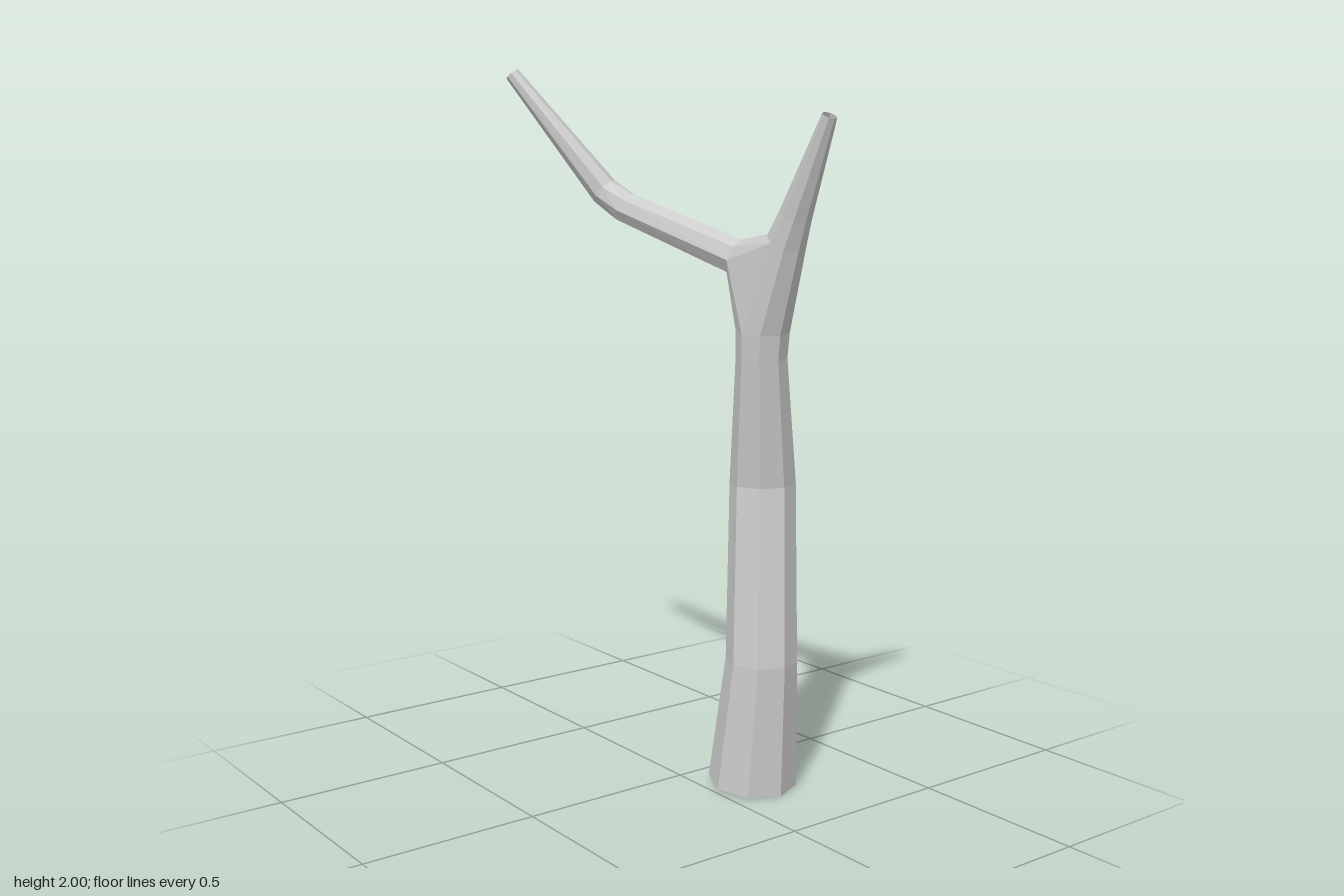
import * as THREE from 'three';
import { ConvexGeometry } from 'three/addons/geometries/ConvexGeometry.js';

const SIDES = 8;
const material = new THREE.MeshStandardMaterial({
  color: 0xcccccc, flatShading: true, side: THREE.DoubleSide,
});

// Octagonal rings along a path; each path entry is [x, y, z, radius]
function makeRings(path) {
  const centres = path.map(([x, y, z]) => new THREE.Vector3(x, y, z));
  const last = path.length - 1;
  return centres.map((centre, i) => {
    const tangent = new THREE.Vector3();
    if (i > 0) tangent.add(centre.clone().sub(centres[i - 1]).normalize());
    if (i < last) tangent.add(centres[i + 1].clone().sub(centre).normalize());
    tangent.normalize();
    const u = new THREE.Vector3(0, 0, 1).projectOnPlane(tangent).normalize();
    const v = tangent.clone().cross(u);
    return Array.from({ length: SIDES }, (_, j) => {
      const a = (j / SIDES) * Math.PI * 2;
      return centre.clone()
        .addScaledVector(u, Math.cos(a) * path[i][3])
        .addScaledVector(v, Math.sin(a) * path[i][3]);
    });
  });
}

// Open-ended skin over a list of rings
function limb(name, rings) {
  const index = [];
  for (let i = 0; i < rings.length - 1; i++) {
    for (let j = 0; j < SIDES; j++) {
      const a = i * SIDES + j;
      const b = i * SIDES + ((j + 1) % SIDES);
      index.push(a, b, b + SIDES, a, b + SIDES, a + SIDES);
    }
  }
  const geometry = new THREE.BufferGeometry().setFromPoints(rings.flat());
  geometry.setIndex(index);
  geometry.computeVertexNormals();
  const mesh = new THREE.Mesh(geometry, material);
  mesh.name = name;
  return mesh;
}

export function createModel() {
  const trunk = makeRings([
    [0.172, 0.009, -0.127, 0.125],
    [0.207, 0.37, -0.127, 0.1],
    [0.167, 0.865, -0.16, 0.092],
    [0.215, 1.22, -0.112, 0.07],
    [0.221, 1.29, -0.11, 0.073],
  ]);
  const longBranch = makeRings([
    [0.125, 1.485, -0.098, 0.052],
    [-0.215, 1.615, 0.03, 0.045],
    [-0.275, 1.66, 0.06, 0.042],
    [-0.478, 1.987, 0.235, 0.021],
  ]);
  const shortBranch = makeRings([
    [0.31, 1.53, -0.114, 0.054],
    [0.345, 1.6, -0.114, 0.044],
    [0.473, 1.852, -0.112, 0.02],
  ]);

  // Fork blending the trunk into both branches
  const fork = new THREE.Mesh(
    new ConvexGeometry([...trunk.at(-1), ...longBranch[0], ...shortBranch[0]]),
    material,
  );
  fork.name = 'fork';

  const model = new THREE.Group();
  model.name = 'bareTree';
  model.add(
    limb('trunk', trunk),
    fork,
    limb('longBranch', longBranch),
    limb('shortBranch', shortBranch),
  );
  return model;
}
